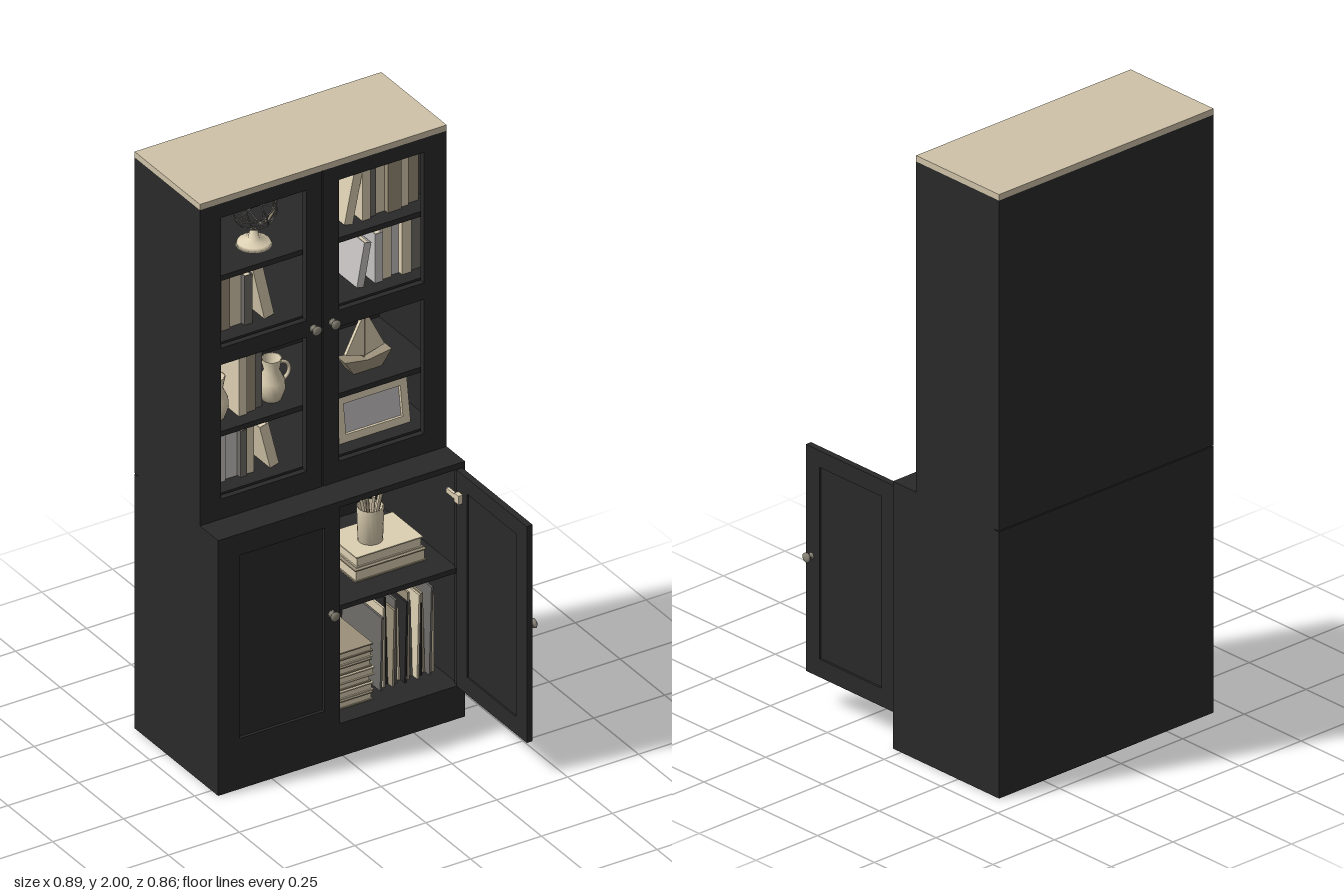
import * as THREE from 'three';

const mat = (name, color) => Object.assign(new THREE.MeshStandardMaterial({ color }), { name });

export function createModel() {
  const root = new THREE.Group();
  root.name = 'bookcase';
  const M = {
    black: mat('black paint', 0x292929),
    top: mat('pale wood', 0xcfc2a8),
    cream: mat('cream', 0xdccfb2),
    pale: mat('pale grey', 0xc6c3c2),
    grey: mat('grey', 0x6e6c68),
    tan: mat('tan', 0x9a8f79),
    metal: mat('knob metal', 0x8a8578),
  };

  const add = (name, geo, m, parent = root) => {
    const mesh = new THREE.Mesh(geo, M[m]);
    mesh.name = name;
    parent.add(mesh);
    return mesh;
  };
  const group = (name, x, y, z, parent = root) => {
    const g = new THREE.Group();
    g.name = name;
    g.position.set(x, y, z);
    parent.add(g);
    return g;
  };
  // Box given by its limits on each axis
  const box = (name, m, x0, x1, y0, y1, z0, z1, parent) => {
    const b = add(name, new THREE.BoxGeometry(x1 - x0, y1 - y0, z1 - z0), m, parent);
    b.position.set((x0 + x1) / 2, (y0 + y1) / 2, (z0 + z1) / 2);
    return b;
  };
  // Flat plate facing +z with rectangular holes
  const plate = (name, m, [x0, x1, y0, y1], holes, z0, z1, parent) => {
    const rect = (P, a, b, c, d) => new P([[a, c], [b, c], [b, d], [a, d]].map(p => new THREE.Vector2(...p)));
    const s = rect(THREE.Shape, x0, x1, y0, y1);
    s.holes = holes.map(h => rect(THREE.Path, ...h));
    const p = add(name, new THREE.ExtrudeGeometry(s, { depth: z1 - z0, bevelEnabled: false }), m, parent);
    p.position.z = z0;
    return p;
  };
  const lathe = (name, m, pts, parent, seg = 16) => {
    const l = add(name, new THREE.LatheGeometry(pts.map(p => new THREE.Vector2(...p)), seg), m, parent);
    l.material.side = THREE.DoubleSide;
    return l;
  };

  // Carcass
  const L = -0.44, R = 0.43, B = -0.43, UF = -0.065, LF = 0.037, W = 0.885;
  box('upperBack', 'black', L, R, W, 1.98, B, -0.41);
  box('lowerBack', 'black', L, R, 0, W - 0.003, B, -0.41);
  for (const [x0, x1] of [[L, L + 0.02], [R - 0.02, R]]) {
    box('upperSide', 'black', x0, x1, W, 1.98, -0.41, UF - 0.02);
    box('lowerSide', 'black', x0, x1, 0, W, -0.41, LF - 0.02);
  }
  box('topBoard', 'top', L, R, 1.98, 2, B, UF);
  box('upperCeiling', 'black', -0.42, 0.41, 1.95, 1.98, -0.41, UF - 0.02);
  box('waistBoard', 'black', -0.42, 0.41, 0.865, W, -0.41, LF - 0.02);
  box('baseBoard', 'black', -0.42, 0.41, 0, 0.115, -0.41, LF - 0.02);
  for (const [y0, y1] of [[0.935, 0.955], [1.15, 1.168], [1.45, 1.478], [1.69, 1.708]])
    box('upperShelf', 'black', -0.42, 0.41, y0, y1, -0.41, UF - 0.03);
  box('lowerDivider', 'black', -0.035, -0.015, 0.115, 0.865, -0.41, LF - 0.02);
  box('lowerShelf', 'black', -0.015, 0.41, 0.5, 0.517, -0.41, LF - 0.01);

  // Front frames
  plate('upperDoorLeft', 'black', [L, -0.009, W, 1.98],
    [[-0.365, -0.065, 0.955, 1.42], [-0.365, -0.065, 1.478, 1.93]], UF - 0.02, UF);
  plate('upperDoorRight', 'black', [-0.006, R, W, 1.98],
    [[0.05, 0.35, 0.955, 1.42], [0.05, 0.35, 1.478, 1.93]], UF - 0.02, UF);
  plate('lowerFront', 'black', [L, R, 0, W],
    [[-0.365, -0.065, 0.175, 0.81], [-0.01, 0.405, 0.115, 0.865]], LF - 0.02, LF);
  box('closedDoorPanel', 'black', -0.37, -0.06, 0.17, 0.815, LF - 0.03, LF - 0.01);

  // Open door, swung out at a right angle
  const door = group('openDoor', 0.41, 0, 0);
  door.rotation.y = Math.PI / 2;
  plate('openDoorFrame', 'black', [-0.43, -0.037, 0.115, 0.865],
    [[-0.37, -0.097, 0.175, 0.81]], -0.01, 0.011, door);
  box('openDoorPanel', 'black', -0.375, -0.092, 0.17, 0.815, -0.005, 0.004, door);
  const hinge = group('hinge', 0.393, 0.78, 0.06);
  box('hingePlate', 'cream', -0.008, 0.008, -0.015, 0.015, -0.012, 0.012, hinge);
  box('hingeArm', 'cream', -0.006, 0.004, -0.008, 0.008, -0.06, 0, hinge);

  // Knobs
  const knob = (x, y, z, side) => {
    const g = group('knob', x, y, z);
    if (side) g.rotation.z = -Math.PI / 2; else g.rotation.x = Math.PI / 2;
    lathe('knobBody', 'metal', [[0.012, 0], [0.006, 0.004], [0.005, 0.012], [0.015, 0.018],
      [0.016, 0.023], [0.01, 0.027], [0, 0.028]], g);
  };
  knob(-0.04, 1.445, UF);
  knob(0.027, 1.445, UF);
  knob(-0.04, 0.505, LF);
  knob(0.42, 0.505, 0.405, true);

  // Book standing on a shelf; x is its left edge, or the foot it pivots on when leaning
  const book = (x, y, w, h, m, lean = 0, z = -0.14, d = 0.19) => {
    const g = group('book', x, y, z);
    g.rotation.z = lean;
    const a = lean < 0 ? -w : 0, t = 0.003;
    box('spine', m, a, a + w, 0, h, -t, 0, g);
    box('coverA', m, a, a + t, 0, h, -d, -t, g);
    box('coverB', m, a + w - t, a + w, 0, h, -d, -t, g);
    box('pages', 'cream', a + t, a + w - t, 0.004, h - 0.005, -d + 0.004, -t, g);
  };
  const row = (x, y, list) => list.forEach(([w, h, m], i) => {
    book(x, y, w - 0.002, h, m, 0, -0.14 - (i % 3) * 0.008);
    x += w;
  });
  row(-0.36, 1.478, [[0.045, 0.2, 'cream'], [0.035, 0.19, 'tan'], [0.045, 0.2, 'cream'], [0.03, 0.17, 'grey']]);
  book(-0.165, 1.478, 0.035, 0.19, 'cream', 0.22);
  row(0.18, 1.708, [[0.03, 0.17, 'cream'], [0.025, 0.2, 'grey'], [0.035, 0.19, 'cream'], [0.05, 0.22, 'tan'], [0.03, 0.21, 'cream'], [0.04, 0.2, 'tan']]);
  book(0.146, 1.708, 0.03, 0.19, 'cream', -0.2);
  row(0.225, 1.478, [[0.03, 0.17, 'pale'], [0.035, 0.21, 'cream'], [0.03, 0.19, 'pale'], [0.035, 0.2, 'cream'], [0.04, 0.19, 'grey']]);
  book(0.185, 1.478, 0.025, 0.15, 'pale', -0.18);
  row(-0.255, 1.168, [[0.03, 0.2, 'cream'], [0.035, 0.215, 'tan'], [0.028, 0.19, 'grey']]);
  row(-0.36, 0.955, [[0.035, 0.18, 'pale'], [0.03, 0.175, 'pale'], [0.045, 0.185, 'pale'], [0.025, 0.16, 'grey'], [0.03, 0.18, 'cream']]);
  book(-0.145, 0.955, 0.032, 0.155, 'cream', 0.24);

  // Globe: wire sphere on a turned foot
  const globe = group('globe', -0.165, 1.708, -0.2);
  lathe('globeFoot', 'cream', [[0, 0], [0.055, 0], [0.05, 0.012], [0.018, 0.02], [0.012, 0.05], [0, 0.055]], globe);
  const ball = group('globeBall', 0, 0.13, 0, globe);
  ball.rotation.z = 0.35;
  for (let i = 0; i < 4; i++)
    add('meridian', new THREE.TorusGeometry(0.07, 0.0025, 6, 32), 'grey', ball).rotation.y = i * Math.PI / 4;
  for (const a of [-0.7, 0, 0.7]) {
    const p = add('parallel', new THREE.TorusGeometry(0.07 * Math.cos(a), 0.0025, 6, 32), 'grey', ball);
    p.rotation.x = Math.PI / 2;
    p.position.y = 0.07 * Math.sin(a);
  }
  add('globeArc', new THREE.TorusGeometry(0.079, 0.004, 8, 32, Math.PI), 'tan', ball).rotation.z = -Math.PI / 2;

  // Jugs with handles
  for (const [x, s] of [[-0.315, -1], [-0.115, 1]]) {
    const jug = group('jug', x, 1.168, -0.18);
    lathe('jugBody', 'cream', [[0, 0], [0.03, 0], [0.042, 0.035], [0.04, 0.065], [0.024, 0.1], [0.032, 0.14], [0.028, 0.138], [0.02, 0.1], [0, 0.06]], jug, 20);
    const h = add('jugHandle', new THREE.TorusGeometry(0.032, 0.006, 8, 16, Math.PI), 'cream', jug);
    h.rotation.z = -s * Math.PI / 2;
    h.position.set(s * 0.03, 0.085, 0);
  }

  // Sailing boat
  const boat = group('sailBoat', 0.215, 1.168, -0.19);
  const flat = (name, m, pts, depth) => {
    const g = new THREE.ExtrudeGeometry(new THREE.Shape(pts.map(p => new THREE.Vector2(...p))), { depth, bevelEnabled: false });
    g.translate(0, 0, -depth / 2);
    return add(name, g, m, boat);
  };
  flat('hull', 'tan', [[-0.05, 0], [0.05, 0], [0.085, 0.048], [0, 0.035], [-0.08, 0.048]], 0.05);
  flat('mainSail', 'cream', [[0.004, 0.042], [0.072, 0.06], [0.004, 0.195]], 0.012);
  flat('foreSail', 'cream', [[-0.065, 0.06], [-0.002, 0.042], [-0.002, 0.185]], 0.012);
  box('mast', 'tan', -0.002, 0.004, 0.03, 0.195, -0.004, 0.004, boat);

  // Picture frame, tilted back
  const pic = group('pictureFrame', 0.228, 0.955, -0.15);
  pic.rotation.x = -0.15;
  plate('frameBorder', 'cream', [-0.125, 0.125, 0, 0.15], [[-0.1, 0.1, 0.025, 0.125]], -0.012, 0.006, pic);
  box('picture', 'pale', -0.102, 0.102, 0.023, 0.127, -0.012, -0.005, pic);

  // Books lying flat
  const flatBook = (x0, x1, y, h, m, z0, z1) => {
    const g = group('flatBook', 0, 0, 0);
    box('cover', m, x0, x1, y, y + 0.004, z0, z1, g);
    box('cover', m, x0, x1, y + h - 0.005, y + h - 0.001, z0, z1, g);
    box('pages', 'cream', x0 + 0.004, x1 - 0.004, y + 0.004, y + h - 0.005, z0, z1 - 0.004, g);
  };
  flatBook(0.105, 0.355, 0.517, 0.042, 'tan', -0.25, -0.06);
  flatBook(0.115, 0.35, 0.559, 0.038, 'cream', -0.24, -0.07);
  for (let i = 0; i < 7; i++)
    flatBook(0.002 + (i % 3) * 0.004, 0.148 + (i % 2) * 0.006, 0.115 + i * 0.028, 0.028, i % 2 ? 'cream' : 'tan', -0.23, -0.03 - (i % 3) * 0.006);

  // Pencil cup
  const cup = group('pencilCup', 0.208, 0.597, -0.14);
  lathe('cup', 'cream', [[0, 0], [0.038, 0], [0.042, 0.115], [0.037, 0.115], [0.034, 0.01], [0, 0.01]], cup, 20);
  for (let i = 0; i < 7; i++) {
    const a = i * 2.4, p = add('pencil', new THREE.CylinderGeometry(0.005, 0.005, 0.15, 6), i % 2 ? 'tan' : 'cream', cup);
    p.position.set(0.022 * Math.cos(a), 0.095 + (i % 3) * 0.008, 0.022 * Math.sin(a));
    p.rotation.set(0.2 * Math.sin(a), 0, -0.2 * Math.cos(a));
  }

  // Upright folders with loose sheets
  for (let i = 0; i < 14; i++) {
    const x = 0.195 + i * 0.0145, h = 0.25 + ((i * 7) % 5) * 0.013;
    const m = ['grey', 'cream', 'black', 'tan'][i % 4];
    box('folder', m, x, x + 0.007, 0.115, 0.115 + h, -0.28, -0.06 - (i % 3) * 0.012).rotation.z = ((i % 3) - 1) * 0.025;
  }
  return root;
}
